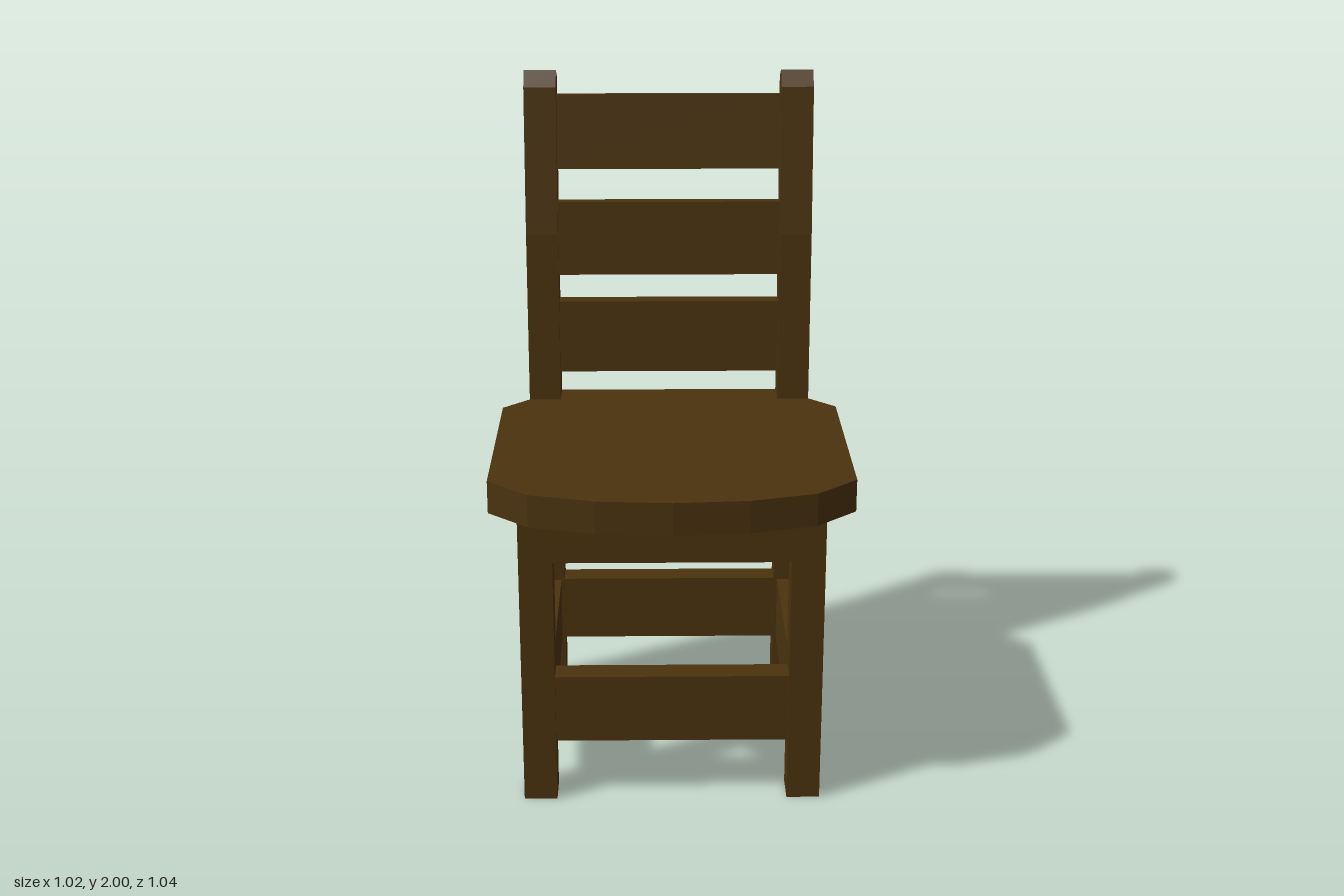
import * as THREE from 'three';

export function createModel() {
  const chair = new THREE.Group();
  chair.name = 'chair';
  const wood = new THREE.MeshStandardMaterial({ color: 0x4b330e });
  wood.name = 'dark brown wood';

  const add = (name, geometry, x = 0, y = 0, z = 0) => {
    const mesh = new THREE.Mesh(geometry, wood);
    mesh.name = name;
    mesh.position.set(x, y, z);
    chair.add(mesh);
    return mesh;
  };
  // Box given by its lower and upper limits on each axis
  const block = (name, x0, x1, y0, y1, z0, z1) => add(name,
    new THREE.BoxGeometry(x1 - x0, y1 - y0, z1 - z0),
    (x0 + x1) / 2, (y0 + y1) / 2, (z0 + z1) / 2);
  const extrude = (points, depth) => new THREE.ExtrudeGeometry(
    new THREE.Shape(points.map(([a, b]) => new THREE.Vector2(a, b))),
    { depth, bevelEnabled: false });

  const inner = 0.336, outer = 0.432;

  // Seat: half outline as (x, z), mirrored across the middle
  const half = [[0.432, -0.36], [0.51, -0.28], [0.51, 0.35], [0.394, 0.455], [0.21, 0.505]];
  const outline = [...half, [0, 0.52], ...half.map(([x, z]) => [-x, z]).reverse()];
  const seat = extrude(outline.map(([x, z]) => [x, -z]), 0.094);
  seat.rotateX(-Math.PI / 2);
  add('seat', seat, 0, 0.908, 0);

  // Back posts: bent side profile as (z, y), extruded across x
  const profile = [[-0.36, 0], [-0.36, 1], [-0.38, 1.52], [-0.43, 1.955], [-0.47, 2],
    [-0.522, 1.975], [-0.47, 1.48], [-0.456, 1], [-0.456, 0]];
  const post = extrude(profile.map(([z, y]) => [-z, y]), outer - inner);
  post.rotateY(Math.PI / 2);

  for (const [side, s] of [['left', 1], ['right', -1]]) {
    const span = (a, b) => (s > 0 ? [a, b] : [-b, -a]);
    add(side + ' back post', post, span(inner, outer)[0]);
    block(side + ' front leg', ...span(inner, outer), 0, 0.908, 0.24, 0.336);
    block(side + ' apron', ...span(inner, outer), 0.75, 0.908, -0.36, 0.24);
    block(side + ' stretcher', ...span(inner + 0.01, outer - 0.01), 0.185, 0.39, -0.36, 0.24);
  }

  // Rails across the front and back
  block('front apron', -inner, inner, 0.75, 0.908, 0.24, 0.336);
  block('back apron', -inner, inner, 0.75, 1.002, -0.456, -0.36);
  block('front stretcher', -inner, inner, 0.185, 0.39, 0.25, 0.326);
  block('back stretcher', -inner, inner, 0.185, 0.39, -0.446, -0.37);

  // Back slats, each leaning with the posts: y, z, lean
  [[1.196, -0.415, 0.035], [1.5, -0.43, 0.075], [1.816, -0.474, 0.115]].forEach(([y, z, lean], i) => {
    const slat = add('back slat ' + (i + 1), new THREE.BoxGeometry(inner * 2, 0.222, 0.06), 0, y, z);
    slat.rotation.x = -lean;
  });

  return chair;
}
